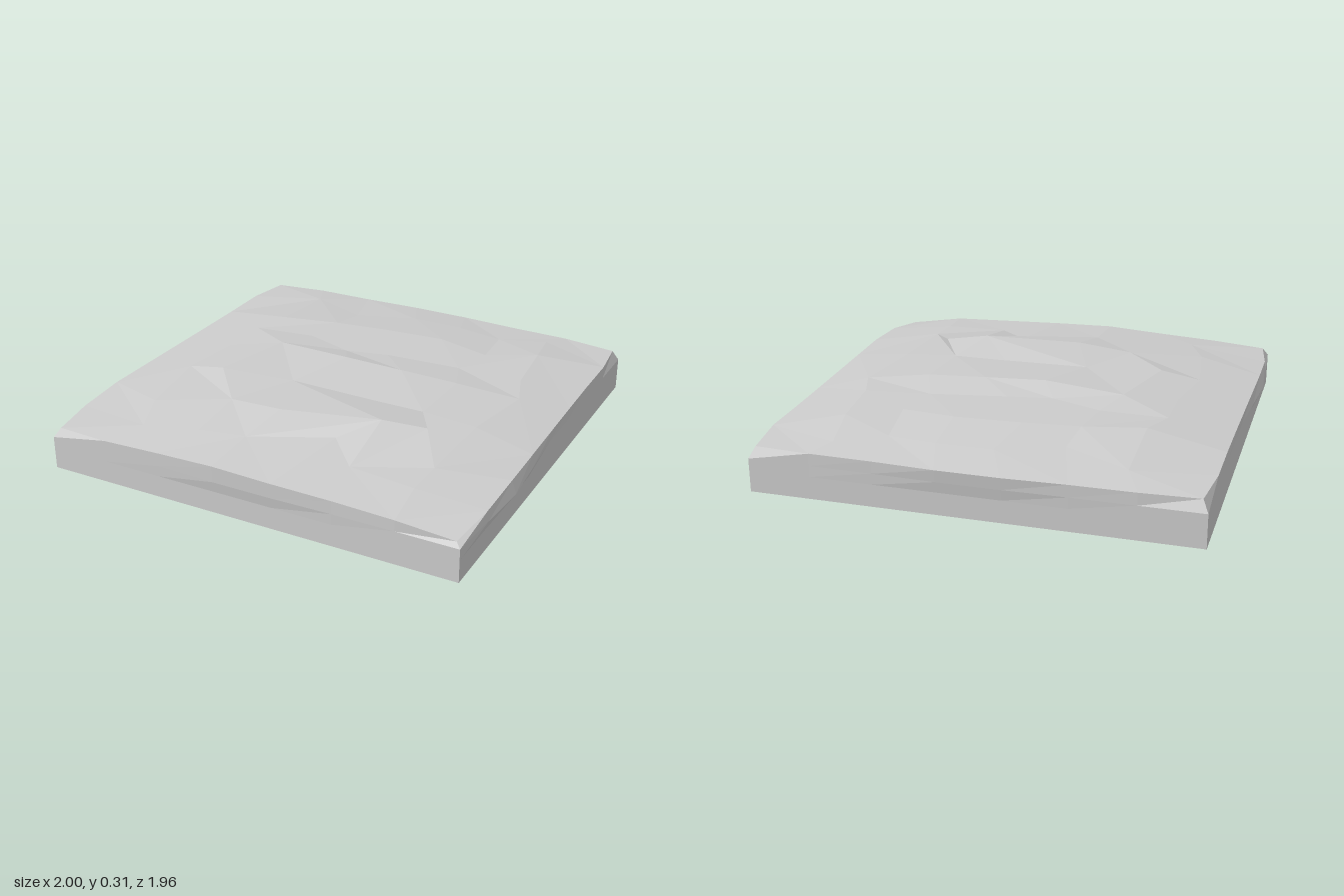
import * as THREE from 'three';

const HALF = 0.965; // half width of the square base
const COLS = 8, ROWS = 9;

// Interior ground points, rows from back to front: x, z, height
const GROUND = [
  [-0.62, -0.81, 0.225, -0.33, -0.68, 0.237, -0.05, -0.78, 0.235, 0.2, -0.78, 0.235, 0.42, -0.75, 0.23, 0.63, -0.85, 0.22],
  [-0.62, -0.44, 0.26, -0.35, -0.5, 0.26, -0.1, -0.53, 0.262, 0.2, -0.55, 0.264, 0.45, -0.5, 0.252, 0.67, -0.62, 0.25],
  [-0.68, -0.28, 0.25, -0.38, -0.3, 0.26, -0.15, -0.22, 0.262, 0.05, -0.26, 0.265, 0.4, -0.3, 0.256, 0.7, -0.32, 0.25],
  [-0.68, -0.05, 0.25, -0.45, -0.13, 0.278, -0.08, -0.09, 0.295, 0.2, -0.1, 0.285, 0.47, -0.11, 0.275, 0.76, -0.15, 0.245],
  [-0.73, 0.24, 0.245, -0.55, 0.24, 0.275, -0.2, 0.2, 0.27, 0.2, 0.2, 0.265, 0.45, 0.2, 0.265, 0.7, 0.2, 0.25],
  [-0.68, 0.6, 0.235, -0.35, 0.48, 0.265, -0.09, 0.5, 0.285, 0.36, 0.42, 0.305, 0.55, 0.37, 0.287, 0.68, 0.58, 0.235],
  [-0.6, 0.8, 0.222, -0.35, 0.75, 0.237, -0.13, 0.72, 0.245, 0.22, 0.57, 0.255, 0.37, 0.73, 0.235, 0.67, 0.75, 0.225],
];
// Heights along the front rim, left corner to right corner
const FRONT_RIM = [0.19, 0.2, 0.212, 0.225, 0.218, 0.21, 0.2, 0.165];

// Outward swelling of the rim, strongest at `centre`
const swell = (t, centre, reach, amount) => amount * Math.max(0, 1 - Math.abs(t - centre) / reach);

// A point of the ground grid, rim included
function groundPoint(r, c) {
  const sx = c === 0 ? -1 : c === COLS - 1 ? 1 : 0;
  const sz = r === 0 ? -1 : r === ROWS - 1 ? 1 : 0;
  if (!sx && !sz) {
    const [x, z, y] = GROUND[r - 1].slice((c - 1) * 3, c * 3);
    return new THREE.Vector3(x, y, z);
  }
  if (sx && sz) return new THREE.Vector3(sx * 0.94, sz > 0 ? FRONT_RIM[c] : 0.2, sz * 0.94);
  if (sz) {
    const x = -HALF + (2 * HALF * c) / (COLS - 1);
    return new THREE.Vector3(x, sz > 0 ? FRONT_RIM[c] : 0.205, sz * (HALF + swell(x, 0, 0.5, sz > 0 ? 0.015 : 0.022)));
  }
  const z = -HALF + (2 * HALF * r) / (ROWS - 1);
  return new THREE.Vector3(sx * (HALF + swell(z, 0.48, 0.9, 0.015)), z > 0.7 ? 0.195 : 0.208, z);
}

function flatMesh(name, points) {
  const geometry = new THREE.BufferGeometry().setFromPoints(points);
  geometry.computeVertexNormals();
  const mesh = new THREE.Mesh(geometry, new THREE.MeshStandardMaterial({ color: 0xcccccc, flatShading: true }));
  mesh.name = name;
  return mesh;
}

export function createModel() {
  const group = new THREE.Group();
  group.name = 'terrainTile';

  // Uneven ground surface
  const grid = [];
  for (let r = 0; r < ROWS; r++) {
    grid.push([]);
    for (let c = 0; c < COLS; c++) grid[r].push(groundPoint(r, c));
  }
  const ground = [];
  for (let r = 0; r < ROWS - 1; r++) {
    for (let c = 0; c < COLS - 1; c++) {
      const a = grid[r][c], b = grid[r][c + 1], d = grid[r + 1][c], e = grid[r + 1][c + 1];
      if ((r + c) % 2) ground.push(a, d, b, b, d, e);
      else ground.push(a, d, e, a, e, b);
    }
  }
  group.add(flatMesh('ground', ground));

  // Walk round the rim, anticlockwise seen from above
  const rim = [];
  for (let c = 0; c < COLS - 1; c++) rim.push([ROWS - 1, c]);
  for (let r = ROWS - 1; r > 0; r--) rim.push([r, COLS - 1]);
  for (let c = COLS - 1; c > 0; c--) rim.push([0, c]);
  for (let r = 0; r < ROWS - 1; r++) rim.push([r, 0]);

  // Rings below the rim: swollen lip, top of the base wall, foot
  const top = rim.map(([r, c]) => grid[r][c]);
  const wallRing = (y) => rim.map(([r, c]) => {
    const p = grid[r][c];
    const x = c === 0 ? -HALF : c === COLS - 1 ? HALF : p.x;
    const z = r === 0 ? -HALF : r === ROWS - 1 ? HALF : p.z;
    return new THREE.Vector3(x, y, z);
  });
  const lip = wallRing(0.15).map((p) => {
    const { x, z } = p;
    if (Math.abs(x) === HALF) p.x += Math.sign(x) * swell(z, 0.4825, 0.48, 0.035);
    if (Math.abs(z) === HALF) p.z += Math.sign(z) * swell(x, 0, 0.5, 0.012);
    return p;
  });
  const shoulder = wallRing(0.1), foot = wallRing(0);

  const band = (upper, lower) => upper.flatMap((u, i) => {
    const j = (i + 1) % upper.length;
    return [lower[i], lower[j], upper[j], lower[i], upper[j], u];
  });
  group.add(flatMesh('rimSlope', [...band(top, lip), ...band(lip, shoulder)]));
  group.add(flatMesh('baseWall', band(shoulder, foot)));

  // Flat underside
  const centre = new THREE.Vector3();
  group.add(flatMesh('underside', foot.flatMap((p, i) => [centre, foot[(i + 1) % foot.length], p])));
  return group;
}
